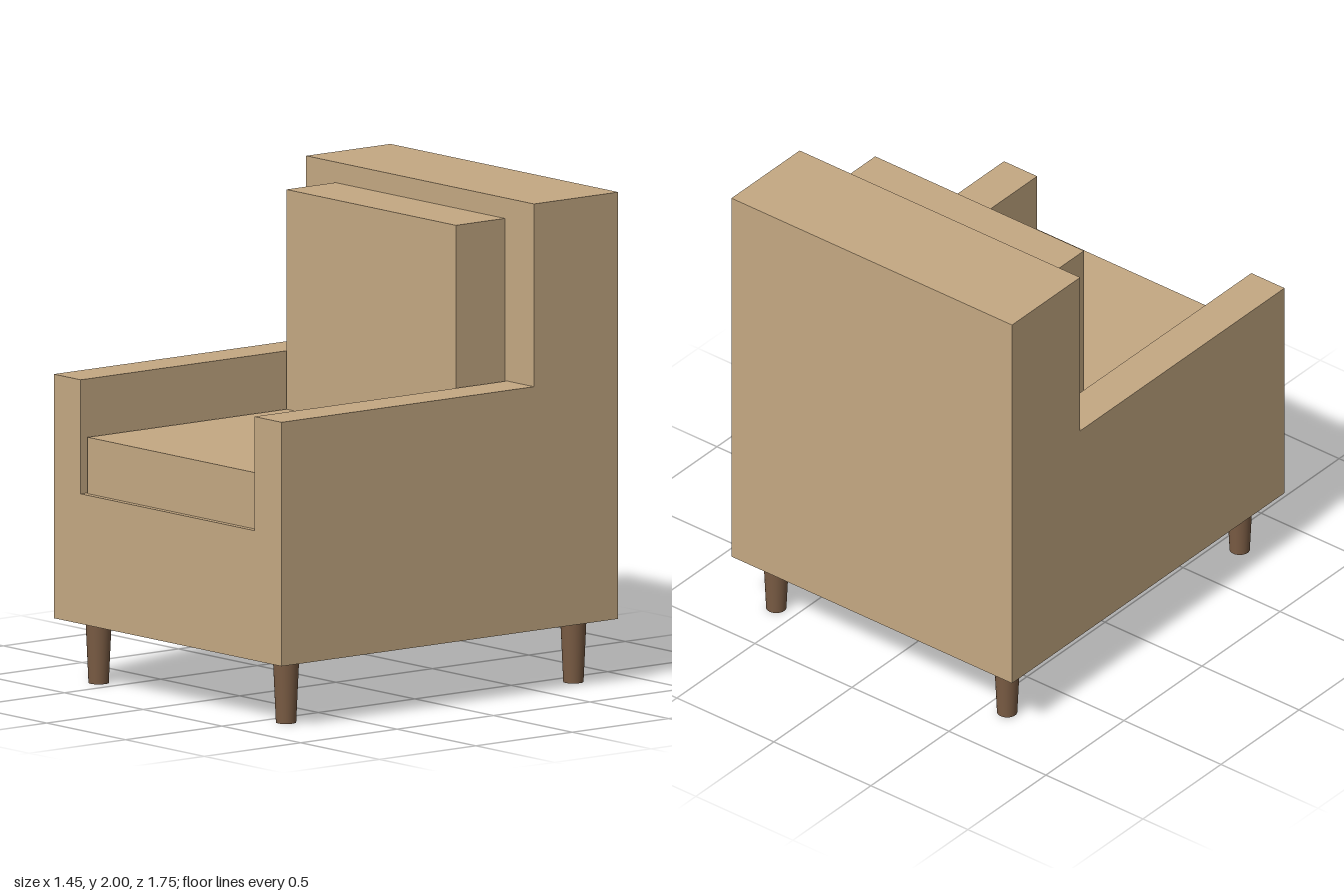
import * as THREE from 'three';

const fabric = new THREE.MeshStandardMaterial({ color: 0xc4a882 });
fabric.name = 'tan fabric';
const wood = new THREE.MeshStandardMaterial({ color: 0x7a5c44 });
wood.name = 'brown wood';

export function createModel() {
  const chair = new THREE.Group();
  chair.name = 'armchair';

  const add = (name, geometry, material, x = 0, y = 0, z = 0) => {
    const mesh = new THREE.Mesh(geometry, material);
    mesh.name = name;
    mesh.position.set(x, y, z);
    chair.add(mesh);
  };

  // box given by its width and its y and z ranges
  const block = (name, width, y0, y1, z0, z1) =>
    add(name, new THREE.BoxGeometry(width, y1 - y0, z1 - z0), fabric, 0, (y0 + y1) / 2, (z0 + z1) / 2);

  const halfWidth = 0.723, inner = 0.552, bottom = 0.26, seatTop = 0.79, armTop = 1.255;
  const front = 0.873, backFront = -0.436;

  // seat base and both arms as one U-shaped section
  const section = new THREE.Shape([
    [-halfWidth, bottom], [halfWidth, bottom], [halfWidth, armTop], [inner, armTop],
    [inner, seatTop], [-inner, seatTop], [-inner, armTop], [-halfWidth, armTop],
  ].map(([x, y]) => new THREE.Vector2(x, y)));
  add('baseAndArms',
    new THREE.ExtrudeGeometry(section, { depth: front - backFront, bevelEnabled: false }),
    fabric, 0, 0, backFront);

  // full-height backrest
  block('backrest', halfWidth * 2, bottom, 2, -front, backFront);

  // loose cushions
  block('seatCushion', 1.076, seatTop, 1.02, backFront, 0.848);
  block('backCushion', 1.076, 1.02, 1.916, backFront, -0.182);

  // tapered round legs
  const leg = new THREE.CylinderGeometry(0.053, 0.041, bottom, 24);
  for (const [sx, side] of [[1, 'Left'], [-1, 'Right']])
    for (const [sz, end] of [[1, 'front'], [-1, 'back']])
      add(`${end}${side}Leg`, leg, wood, sx * 0.595, bottom / 2, sz * 0.745);

  return chair;
}
